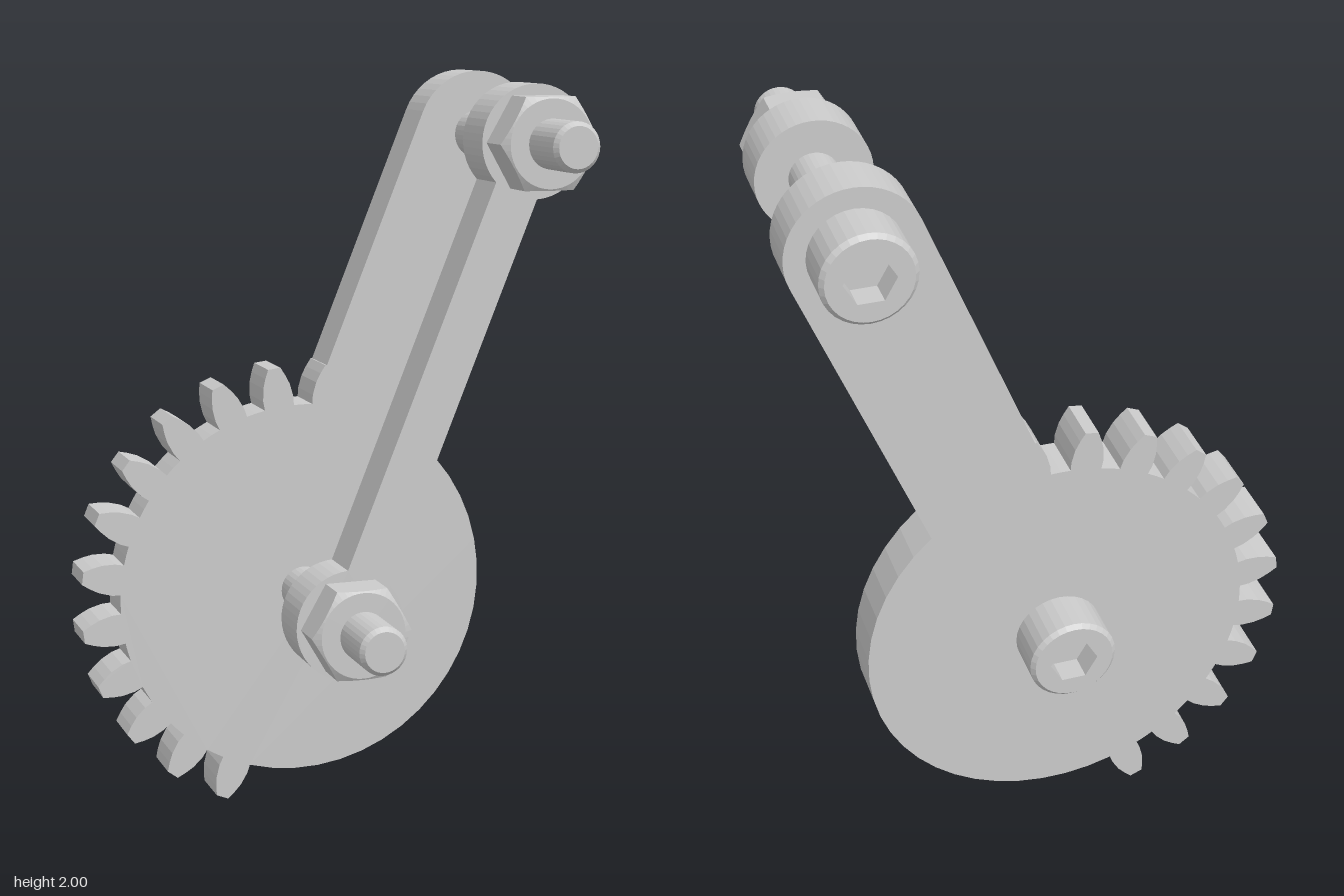
import * as THREE from 'three';

const A = new THREE.Vector2(-0.025, 0.588); // gear pivot
const B = new THREE.Vector2(0.477, 1.83);   // arm end pivot
const DEG = Math.PI / 180;
const DIR = Math.atan2(B.y - A.y, B.x - A.x) / DEG; // arm direction in degrees

const material = new THREE.MeshStandardMaterial({ color: 0xcccccc, flatShading: true });
const doubleMaterial = new THREE.MeshStandardMaterial({ color: 0xcccccc, flatShading: true, side: THREE.DoubleSide });

const polar = (c, r, deg) => new THREE.Vector2(c.x + r * Math.cos(deg * DEG), c.y + r * Math.sin(deg * DEG));

function arc(c, r, from, to, step = 7.5) {
  const n = Math.max(1, Math.ceil((to - from) / step));
  return Array.from({ length: n + 1 }, (_, i) => polar(c, r, from + (to - from) * i / n));
}

function mesh(name, geometry, mat = material) {
  const m = new THREE.Mesh(geometry, mat);
  m.name = name;
  return m;
}

function plate(name, points, z0, z1) {
  const geometry = new THREE.ExtrudeGeometry(new THREE.Shape(points), { depth: z1 - z0, bevelEnabled: false });
  return mesh(name, geometry.translate(0, 0, z0));
}

// Sector gear with its arm, one closed outline
function gearArm() {
  const root = 0.52, tip = 0.628, half = 0.17;
  // involute flank: radius, half angle of the tooth in degrees
  const flank = [[root, 4.6], [0.545, 4.55], [0.58, 3.75], [0.605, 2.72], [tip, 1.6]];
  const offset = r => Math.asin(half / r) / DEG;
  const start = DIR - offset(root);
  const pts = [polar(A, root, start), ...arc(B, half, DIR - 90, DIR + 90), polar(A, tip, DIR + offset(tip))];
  const teeth = 12;
  for (let i = 0; i < teeth; i++) {
    const a = 82.5 + 15 * i;
    // the first tooth is half buried in the arm
    if (i > 0) flank.forEach(([r, h]) => pts.push(polar(A, r, a - h)));
    [...flank].reverse().forEach(([r, h]) => pts.push(polar(A, r, a + h)));
    if (i < teeth - 1) pts.push(polar(A, root, a + 7.5));
  }
  const end = 82.5 + 15 * (teeth - 1) + 4.6;
  pts.push(...arc(A, root, end, start + 360).slice(1, -1));
  return plate('gearArm', pts, -0.326, -0.197);
}

// Narrow link with a round eye at each end
function link() {
  const r = 0.148, a = Math.asin(0.062 / r) / DEG;
  const pts = [...arc(A, r, DIR + a, DIR + 360 - a), ...arc(B, r, DIR - 180 + a, DIR + 180 - a)];
  return plate('link', pts, 0.065, 0.194);
}

// Hex nut whose outer corners are cut by a cone
function nutGeometry(z0, z1) {
  const n = 48, apothem = 0.118, rim = 0.114, pos = [], index = [];
  for (let i = 0; i <= n; i++) {
    const t = i / n * Math.PI * 2;
    const m = (t % (Math.PI / 3)) - Math.PI / 6;
    const r = apothem / Math.cos(m);
    const rings = [[0, z0], [r, z0], [r, z1 - (r - rim) * 0.6], [rim, z1], [0, z1]];
    rings.forEach(([q, z]) => pos.push(q * Math.cos(t), q * Math.sin(t), z));
    if (i === n) break;
    for (let k = 0; k < 4; k++) {
      const a = i * 5 + k, b = a + 5;
      index.push(a, b, b + 1, a, b + 1, a + 1);
    }
  }
  const g = new THREE.BufferGeometry();
  g.setAttribute('position', new THREE.Float32BufferAttribute(pos, 3));
  g.setIndex(index);
  g.computeVertexNormals();
  return g;
}

// Socket head bolt with its nut
function bolt(name, c) {
  const g = new THREE.Group();
  g.name = name;
  const back = -0.453, floor = -0.385, socket = 0.064;
  const profile = [[0.106, back], [0.117, -0.442], [0.117, -0.326], [0.064, -0.326],
    [0.064, 0.441], [0.053, 0.453], [0, 0.453]].map(p => new THREE.Vector2(...p));
  g.add(mesh('boltBody', new THREE.LatheGeometry(profile, 32).rotateX(Math.PI / 2), doubleMaterial));

  // head face with a hexagonal socket
  const O = new THREE.Vector2();
  const face = new THREE.Shape(arc(O, 0.106, 0, 348.75, 11.25));
  const hex = arc(O, socket, 0, 300, 60);
  face.holes.push(new THREE.Path(hex));
  g.add(mesh('headFace', new THREE.ShapeGeometry(face).translate(0, 0, back), doubleMaterial));
  const walls = new THREE.CylinderGeometry(socket, socket, floor - back, 6, 1, true);
  walls.rotateY(Math.PI / 2).rotateX(Math.PI / 2).translate(0, 0, (floor + back) / 2);
  g.add(mesh('socketWalls', walls, doubleMaterial));
  g.add(mesh('socketFloor', new THREE.ShapeGeometry(new THREE.Shape(hex)).translate(0, 0, floor), doubleMaterial));

  g.add(mesh('nut', nutGeometry(0.194, 0.297)));
  g.position.set(c.x, c.y, 0);
  return g;
}

export function createModel() {
  const model = new THREE.Group();
  model.name = 'gearLinkage';
  model.add(gearArm(), link(), bolt('lowerBolt', A), bolt('upperBolt', B));
  return model;
}
